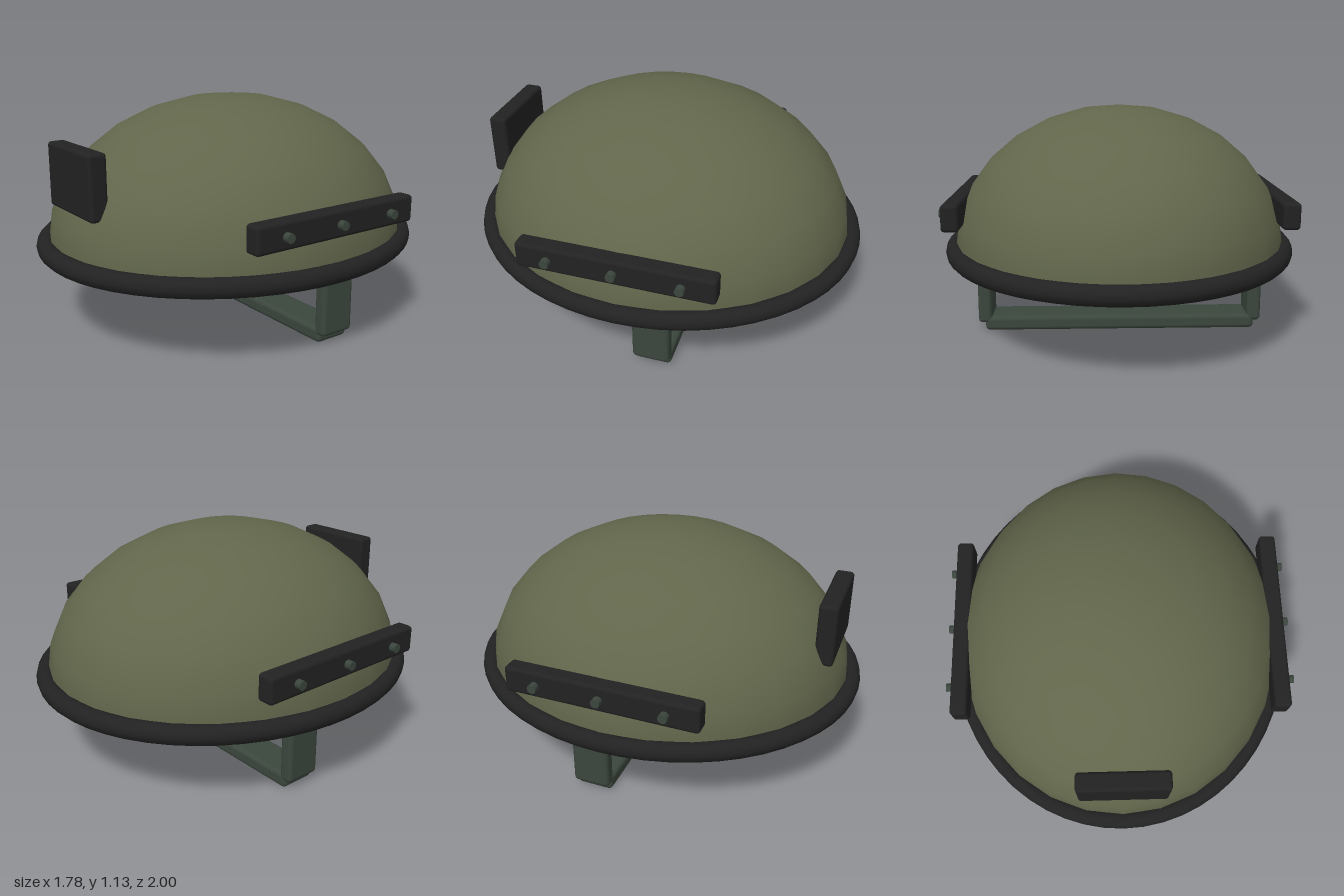
import * as THREE from 'three';
import { RoundedBoxGeometry } from 'three/addons/geometries/RoundedBoxGeometry.js';

const olive = new THREE.MeshStandardMaterial({ name: 'olive shell', color: 0x61664b });
const black = new THREE.MeshStandardMaterial({ name: 'black trim', color: 0x222222 });
const webbing = new THREE.MeshStandardMaterial({ name: 'grey green webbing', color: 0x3b463d });

const RIM_Y = 0.417;

export function createModel() {
  const model = new THREE.Group();
  model.name = 'helmet';

  const add = (name, geometry, material, x = 0, y = 0, z = 0) => {
    const mesh = new THREE.Mesh(geometry, material);
    mesh.name = name;
    mesh.position.set(x, y, z);
    model.add(mesh);
    return mesh;
  };
  // Rounded box given by its lower and upper corners
  const block = (name, material, [x0, y0, z0], [x1, y1, z1], radius) =>
    add(name, new RoundedBoxGeometry(x1 - x0, y1 - y0, z1 - z0, 3, radius), material,
      (x0 + x1) / 2, (y0 + y1) / 2, (z0 + z1) / 2);

  // Half-ellipsoid shell, closed underneath by a flat liner
  const dome = new THREE.SphereGeometry(1, 28, 7, 0, Math.PI * 2, 0, Math.PI / 2);
  dome.scale(0.84, 0.713, 0.94);
  add('shell', dome, olive, 0, RIM_Y, 0);
  const liner = new THREE.CircleGeometry(1, 48);
  liner.rotateX(Math.PI / 2);
  liner.scale(0.845, 1, 0.95);
  add('liner', liner, olive, 0, RIM_Y, 0);

  // Oval edge trim
  const rim = new THREE.TorusGeometry(0.953, 0.047, 12, 56);
  rim.rotateX(Math.PI / 2);
  rim.scale(0.888, 1, 1);
  add('rim', rim, black, 0, RIM_Y, 0);

  // Front mounting plate
  block('frontMount', black, [-0.217, 0.637, 0.8], [0.217, 0.945, 0.89], 0.018);

  for (const [side, s] of [['left', 1], ['right', -1]]) {
    // Side rail with three screws
    const xs = [0.755 * s, 0.84 * s].sort((a, b) => a - b);
    block(side + 'Rail', black, [xs[0], 0.57, -0.465], [xs[1], 0.7, 0.465], 0.018);
    for (const z of [-0.31, 0, 0.31]) {
      const screw = new THREE.CylinderGeometry(0.022, 0.022, 0.06, 10);
      screw.rotateZ(Math.PI / 2);
      add(side + 'RailScrew', screw, webbing, 0.841 * s, 0.633, z);
    }
    // Hanging strap
    const xt = [0.65 * s, 0.72 * s].sort((a, b) => a - b);
    block(side + 'Strap', webbing, [xt[0], 0.04, -0.217], [xt[1], 0.41, -0.032], 0.022);
  }

  // Chin strap joining both sides
  block('chinStrap', webbing, [-0.685, 0, -0.217], [0.685, 0.074, -0.032], 0.022);

  return model;
}
